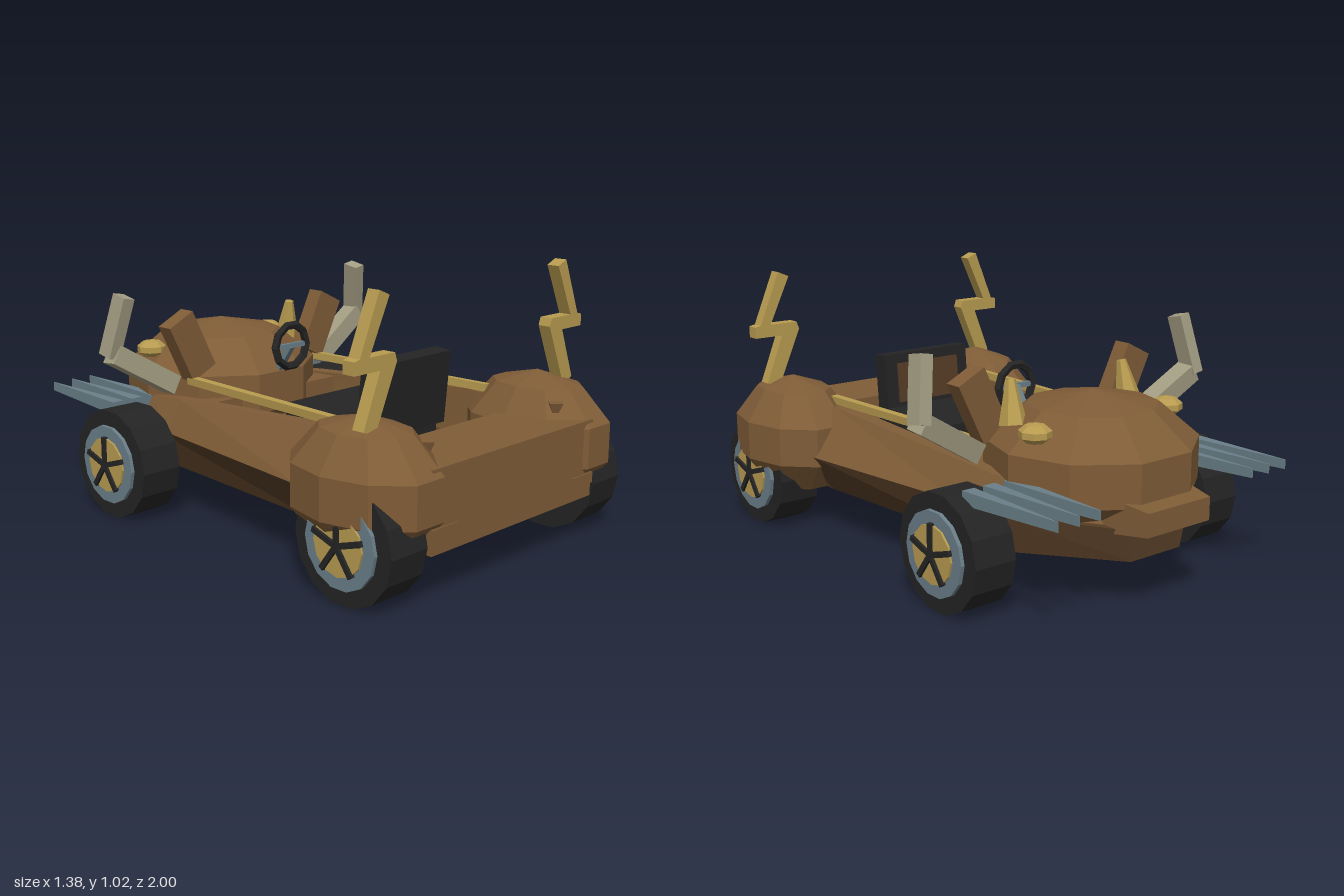
import * as THREE from 'three';

const mat = (name, color, extra = {}) => new THREE.MeshStandardMaterial({ name, color, flatShading: true, ...extra });

export function createModel() {
  const brown = mat('brown', 0x7f5c37);
  const darkBrown = mat('dark brown', 0x553c25);
  const black = mat('black', 0x242424);
  const gold = mat('gold', 0xb89b50);
  const steel = mat('steel', 0x6b7f89);
  const bone = mat('bone', 0xa39d82);

  const model = new THREE.Group();
  model.name = 'kart';

  const add = (name, geo, material, pos = [0, 0, 0], parent = model) => {
    const m = new THREE.Mesh(geo, material);
    m.name = name;
    m.position.set(...pos);
    parent.add(m);
    return m;
  };
  const box = (name, size, material, pos, parent) => add(name, new THREE.BoxGeometry(...size), material, pos, parent);

  // Bar from a to b with a rectangular section
  const beam = (name, a, b, w, d, material) => {
    const A = new THREE.Vector3(...a), B = new THREE.Vector3(...b);
    const m = box(name, [w, A.distanceTo(B), d], material, A.clone().add(B).multiplyScalar(0.5).toArray());
    m.quaternion.setFromUnitVectors(new THREE.Vector3(0, 1, 0), B.sub(A).normalize());
    return m;
  };

  // Skin over convex sections [z, [[x, y], ...]], counterclockwise, z rising
  const loft = (sections) => {
    const pos = [], n = sections[0][1].length;
    const put = (s, i) => pos.push(...sections[s][1][i % n], sections[s][0]);
    for (let s = 0; s < sections.length - 1; s++)
      for (let i = 0; i < n; i++) {
        put(s, i); put(s, i + 1); put(s + 1, i + 1);
        put(s, i); put(s + 1, i + 1); put(s + 1, i);
      }
    const e = sections.length - 1;
    for (let i = 1; i < n - 1; i++) {
      put(e, 0); put(e, i); put(e, i + 1);
      put(0, 0); put(0, i + 1); put(0, i);
    }
    const g = new THREE.BufferGeometry();
    g.setAttribute('position', new THREE.Float32BufferAttribute(pos, 3));
    g.computeVertexNormals();
    return g;
  };
  const trapezoid = (z, wb, yb, wt, yt) => [z, [[-wb, yb], [wb, yb], [wt, yt], [-wt, yt]]];

  // Chassis: its top is the cockpit floor
  add('chassis', loft([
    trapezoid(-0.89, 0.12, 0.18, 0.15, 0.30),
    trapezoid(-0.55, 0.38, 0.18, 0.43, 0.33),
    trapezoid(0.45, 0.46, 0.18, 0.555, 0.33),
    trapezoid(0.97, 0.44, 0.18, 0.46, 0.33),
  ]), darkBrown);

  // Decks before and behind the cockpit
  add('noseDeck', loft([
    trapezoid(-0.86, 0.14, 0.30, 0.12, 0.34),
    trapezoid(-0.55, 0.42, 0.33, 0.37, 0.44),
    trapezoid(-0.23, 0.42, 0.33, 0.37, 0.45),
  ]), brown);
  add('tailDeck', loft([
    trapezoid(0.68, 0.5, 0.32, 0.43, 0.47),
    trapezoid(0.97, 0.45, 0.32, 0.45, 0.47),
  ]), brown);
  box('tailPanel', [0.9, 0.29, 0.02], brown, [0, 0.325, 0.975]);

  // Snout and domed head
  add('snout', loft([
    trapezoid(-0.995, 0.15, 0.30, 0.15, 0.385),
    trapezoid(-0.75, 0.19, 0.27, 0.19, 0.42),
  ]), brown);
  add('headDome', new THREE.SphereGeometry(0.41, 10, 5).scale(1, 0.62, 1), brown, [0, 0.456, -0.56]);

  // Seat
  box('seatBase', [0.41, 0.15, 0.4], black, [0, 0.405, 0.25]);
  const back = box('seatBack', [0.41, 0.28, 0.07], black, [0, 0.555, 0.465]);
  back.rotation.x = 0.09;
  box('seatCushion', [0.3, 0.16, 0.012], darkBrown, [0, 0.02, -0.038], back);

  // Steering
  add('steeringWheel', new THREE.TorusGeometry(0.085, 0.017, 5, 10), black, [0, 0.645, -0.135]);
  beam('steeringSpoke', [-0.08, 0.645, -0.135], [0.08, 0.645, -0.135], 0.02, 0.015, steel);
  beam('steeringColumn', [0, 0.645, -0.135], [0, 0.46, -0.26], 0.025, 0.025, steel);

  // Zigzag outline of the tail bolts
  const bolt = new THREE.Shape([
    [0.46, 1.01], [0.55, 0.82], [0.43, 0.82], [0.42, 0.79], [0.52, 0.56], [0.575, 0.58],
    [0.5, 0.77], [0.62, 0.77], [0.62, 0.815], [0.595, 0.82], [0.507, 1.03],
  ].map(([x, y]) => new THREE.Vector2(x, y)));

  // Flat claw, pointed towards -z
  const claw = loft([
    trapezoid(-0.45, 0.002, -0.015, 0.002, 0.02),
    trapezoid(0, 0.026, -0.025, 0.026, 0.025),
  ]);

  const wheel = (s, z) => {
    const g = new THREE.Group();
    g.name = 'wheel';
    g.position.set(s * 0.555, 0.216, z);
    g.rotation.y = s < 0 ? Math.PI : 0;
    model.add(g);
    const disc = (name, r, x0, x1, material, sides) => add(name,
      new THREE.CylinderGeometry(r, r, x1 - x0, sides).rotateZ(Math.PI / 2), material, [(x0 + x1) / 2, 0, 0], g);
    disc('tyre', 0.216, -0.085, 0.085, black, 14);
    disc('rim', 0.155, -0.05, 0.1, steel, 14);
    disc('hubPlate', 0.108, 0, 0.108, gold, 12);
    for (let i = 0; i < 5; i++) {
      const a = (i * Math.PI * 2) / 5;
      const spoke = box('spoke', [0.016, 0.115, 0.02], black, [0.11, Math.cos(a) * 0.055, Math.sin(a) * 0.055], g);
      spoke.rotation.x = a;
    }
  };

  for (const s of [1, -1]) {
    wheel(s, 0.77);
    wheel(s, -0.485);

    // Cockpit side wall with its rail
    const wall = (z, outer, rim, inner, y) => {
      const p = [[s * (inner - 0.01), 0.32], [s * outer, 0.33], [s * rim, y], [s * inner, y]];
      return [z, s > 0 ? p : p.reverse()];
    };
    add('sideWall', loft([
      wall(-0.55, 0.43, 0.38, 0.33, 0.44),
      wall(-0.35, 0.455, 0.395, 0.34, 0.455),
      wall(0.47, 0.555, 0.43, 0.37, 0.51),
      wall(0.72, 0.53, 0.44, 0.38, 0.49),
    ]), brown);
    beam('rail', [s * 0.342, 0.525, -0.35], [s * 0.385, 0.525, 0.55], 0.03, 0.03, gold);

    // Round fender and its trim
    add('fender', new THREE.SphereGeometry(1, 10, 5).scale(0.226, 0.245, 0.315), brown, [s * 0.475, 0.366, 0.715]);
    box('fenderLedge', [0.13, 0.04, 0.06], brown, [s * 0.39, 0.25, 0.96]);
    const stud = add('fenderStud', new THREE.ConeGeometry(0.035, 0.07, 4), brown, [s * 0.36, 0.495, 0.88]);
    stud.rotation.x = Math.PI;

    const zigzag = add('tailBolt',
      new THREE.ExtrudeGeometry(bolt, { depth: 0.05, bevelEnabled: false }).translate(0, 0, -0.025), gold, [0, 0, 0.775]);
    zigzag.rotation.y = s < 0 ? Math.PI : 0;

    // Ear, bent horn, spike and eye
    const ear = box('ear', [0.125, 0.25, 0.07], brown, [s * 0.352, 0.665, -0.35]);
    ear.rotation.z = -s * 0.46;
    beam('hornBase', [s * 0.4, 0.51, -0.39], [s * 0.66, 0.665, -0.42], 0.075, 0.075, bone);
    beam('hornTip', [s * 0.665, 0.655, -0.43], [s * 0.622, 0.885, -0.385], 0.05, 0.07, bone);
    const spike = add('headSpike', new THREE.CylinderGeometry(0.018, 0.052, 0.16, 6), gold, [s * 0.277, 0.68, -0.445]);
    spike.rotation.set(0.2, 0, s * 0.08);
    add('eye', new THREE.SphereGeometry(0.062, 8, 5).scale(1, 0.6, 1), gold, [s * 0.32, 0.61, -0.62]);

    // Claws over the wheel
    for (const x of [0.37, 0.46, 0.55]) {
      const c = add('claw', claw, steel, [s * x, 0.415, -0.545]);
      c.rotation.x = 0.02;
    }
  }
  return model;
}
